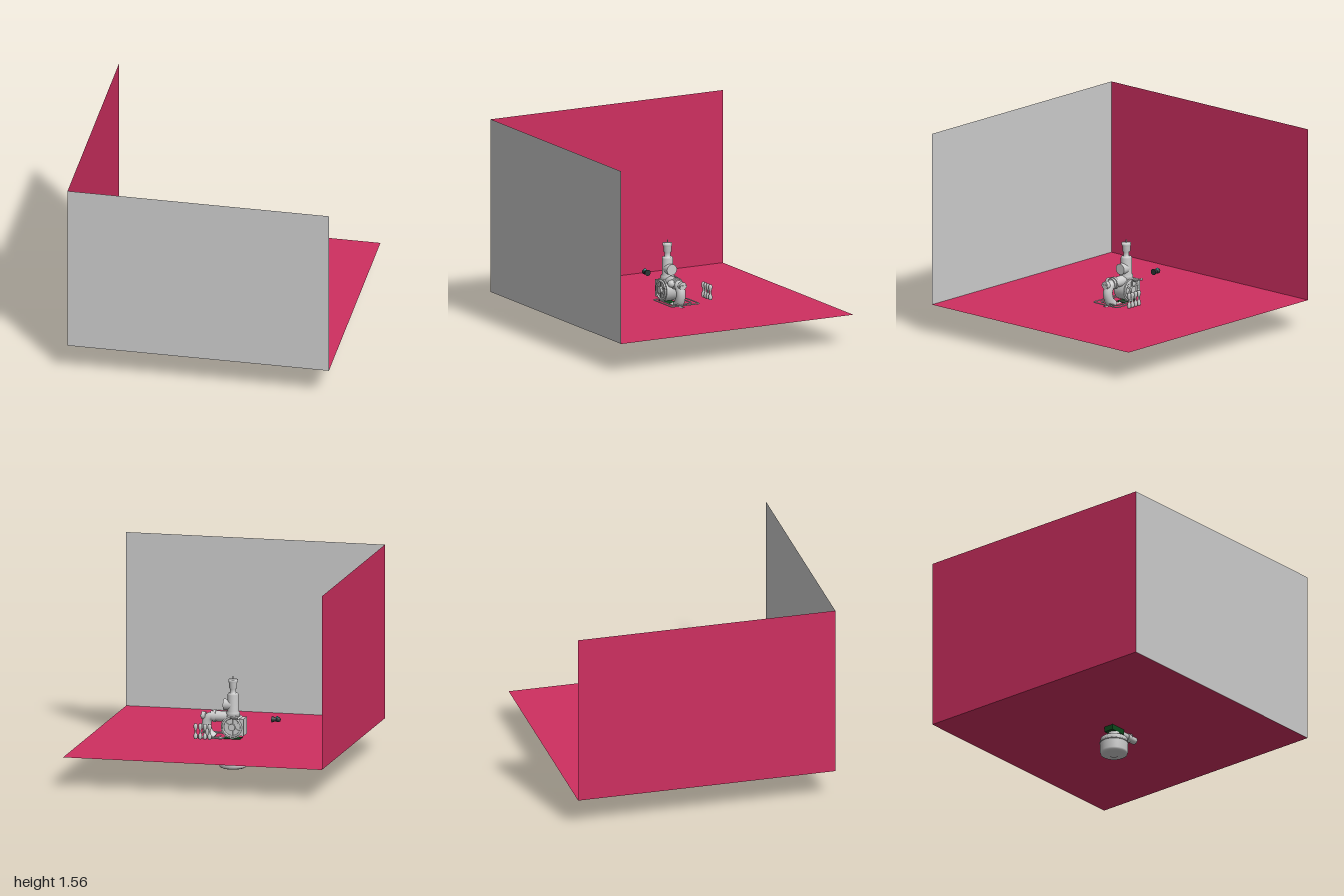
import * as THREE from 'three';

const grey = new THREE.MeshStandardMaterial({ color: 0xcccccc, side: THREE.DoubleSide });
const red = new THREE.MeshStandardMaterial({ color: 0xce2f60, side: THREE.DoubleSide });
const green = new THREE.MeshStandardMaterial({ color: 0x0c4a1c });
const dark = new THREE.MeshStandardMaterial({ color: 0x2a3535 });
const teal = new THREE.MeshStandardMaterial({ color: 0x1f8a80 });

const V = (x, y, z) => new THREE.Vector3(x, y, z);

export function createModel() {
  const model = new THREE.Group();

  function add(name, geometry, material, x = 0, y = 0, z = 0, parent = model) {
    const mesh = new THREE.Mesh(geometry, material);
    mesh.name = name;
    mesh.position.set(x, y, z);
    parent.add(mesh);
    return mesh;
  }
  const lathe = (pts, n = 40) =>
    new THREE.LatheGeometry(pts.map(([r, y]) => new THREE.Vector2(r, y)), n);
  const cylX = (r, l) => new THREE.CylinderGeometry(r, r, l, 32).rotateZ(Math.PI / 2);
  const cylZ = (r, l) => new THREE.CylinderGeometry(r, r, l, 40).rotateX(Math.PI / 2);

  // Tube along points, with corners rounded by the radius c
  function pipe(name, pts, r, c) {
    const path = new THREE.CurvePath();
    let from = pts[0];
    for (let i = 1; i < pts.length - 1; i++) {
      const a = pts[i].clone().add(pts[i - 1].clone().sub(pts[i]).setLength(c));
      const b = pts[i].clone().add(pts[i + 1].clone().sub(pts[i]).setLength(c));
      path.add(new THREE.LineCurve3(from, a));
      path.add(new THREE.QuadraticBezierCurve3(a, pts[i], b));
      from = b;
    }
    path.add(new THREE.LineCurve3(from, pts[pts.length - 1]));
    return add(name, new THREE.TubeGeometry(path, 100, r, 8), grey);
  }

  // Floor and two walls
  add('floor', new THREE.PlaneGeometry(2, 2).rotateX(-Math.PI / 2), red, 0, 0.23, 0);
  add('frontWall', new THREE.PlaneGeometry(2, 1.33), grey, 0, 0.895, 1);
  add('sideWall', new THREE.PlaneGeometry(2, 1.33).rotateY(Math.PI / 2), red, -1, 0.895, 0);

  // Drum below the floor with its clamp band
  const cx = -0.07;
  add('drum', lathe([[0, 0], [0.03, 0], [0.035, 0.006], [0.085, 0.007], [0.1, 0.015],
    [0.104, 0.03], [0.104, 0.125], [0.1, 0.142], [0.085, 0.152], [0, 0.155]]), grey, cx);
  add('drumBand', new THREE.TorusGeometry(0.104, 0.005, 8, 48).rotateX(Math.PI / 2), grey, cx, 0.107, 0);
  add('drumNeck', new THREE.CylinderGeometry(0.035, 0.048, 0.08, 32), grey, cx, 0.185, 0);
  add('mountBlock', new THREE.BoxGeometry(0.13, 0.045, 0.08), green, -0.068, 0.212, 0);

  // Round machine housing with front and rear covers
  add('housing', cylZ(0.088, 0.1), grey, -0.075, 0.325, 0);
  for (const s of [-1, 1]) {
    add('housingRim', new THREE.TorusGeometry(0.07, 0.008, 8, 40), grey, -0.075, 0.325, 0.052 * s);
    add('housingHub', cylZ(0.026, 0.03), grey, -0.075, 0.325, 0.055 * s);
    for (let i = 0; i < 3; i++) {
      const spoke = add('housingSpoke', new THREE.BoxGeometry(0.012, 0.13, 0.012), grey, -0.075, 0.325, 0.052 * s);
      spoke.rotation.z = i * Math.PI / 3;
    }
  }
  add('endBlock', new THREE.BoxGeometry(0.03, 0.13, 0.11), grey, -0.148, 0.325, 0);

  // Upright column and nozzle head
  add('column', lathe([[0, 0.39], [0.052, 0.39], [0.052, 0.43], [0.042, 0.44], [0.042, 0.565],
    [0.036, 0.577], [0.022, 0.578], [0.022, 0.61], [0.03, 0.615], [0.03, 0.655],
    [0.036, 0.665], [0.036, 0.682], [0, 0.684]]), grey, cx);
  add('tip', new THREE.CylinderGeometry(0.005, 0.005, 0.024, 12), grey, cx, 0.693, 0);
  add('columnBoss', cylX(0.042, 0.07), grey, -0.035, 0.487, 0);

  // Side arm: upper cylinder, elbow and lower outlet
  add('upperCylinder', cylX(0.04, 0.15), grey, 0.025, 0.395, 0);
  add('upperCollar', cylX(0.047, 0.02), grey, 0.07, 0.395, 0);
  const bend = new THREE.CatmullRomCurve3([V(0.08, 0.395, 0), V(0.115, 0.38, 0),
    V(0.135, 0.33, 0), V(0.12, 0.27, 0), V(0.08, 0.23, 0)]);
  add('elbow', new THREE.TubeGeometry(bend, 32, 0.036, 24), grey);
  add('outlet', cylX(0.027, 0.17), grey, 0.085, 0.208, 0);
  add('outletCollar', cylX(0.033, 0.035), grey, 0.09, 0.208, 0);
  add('armCap', cylX(0.03, 0.03), grey, 0.155, 0.395, 0);
  add('capHandle', new THREE.BoxGeometry(0.01, 0.012, 0.056), grey, 0.172, 0.395, 0);
  add('valveBall', new THREE.SphereGeometry(0.03, 24, 16), grey, 0.07, 0.4, 0.045);

  // Thin pipes around the machine
  const y = 0.25;
  pipe('outerPipe', [V(-0.1, y, 0.04), V(-0.1, y, 0.107), V(0.183, y, 0.107),
    V(0.183, y, -0.135), V(-0.02, y, -0.135), V(-0.02, y, -0.03)], 0.005, 0.02);
  pipe('innerPipe', [V(-0.06, y, 0.04), V(-0.06, y, 0.072), V(0.14, y, 0.072),
    V(0.14, y, -0.095), V(0.02, y, -0.095), V(0.02, y, -0.02)], 0.005, 0.02);
  pipe('crankPipe', [V(-0.07, 0.4, -0.03), V(-0.07, 0.4, -0.095), V(-0.13, 0.4, -0.095)], 0.005, 0.02);
  add('crankKnob', new THREE.SphereGeometry(0.01, 16, 12), grey, -0.135, 0.4, -0.095);

  // Row of four waisted pins
  const pin = lathe([[0, 0.26], [0.011, 0.262], [0.015, 0.275], [0.014, 0.295], [0.007, 0.31],
    [0.007, 0.33], [0.014, 0.345], [0.015, 0.365], [0.011, 0.378], [0, 0.38]], 20);
  for (let i = 0; i < 4; i++) add('pin', pin, grey, 0.053 + i * 0.036, 0, -0.24);

  // Small lamp on its own beside the machine
  const lamp = new THREE.Group();
  lamp.name = 'lamp';
  lamp.position.set(-0.405, 0.39, 0);
  model.add(lamp);
  add('lampBody', new THREE.SphereGeometry(0.02, 20, 14), dark, -0.014, 0, 0, lamp);
  add('lampLens', new THREE.SphereGeometry(0.013, 20, 14), teal, -0.008, 0.012, 0, lamp);
  add('lampHood', new THREE.CylinderGeometry(0.013, 0.024, 0.034, 24).rotateZ(Math.PI / 2), dark, 0.018, 0, 0, lamp);

  return model;
}
